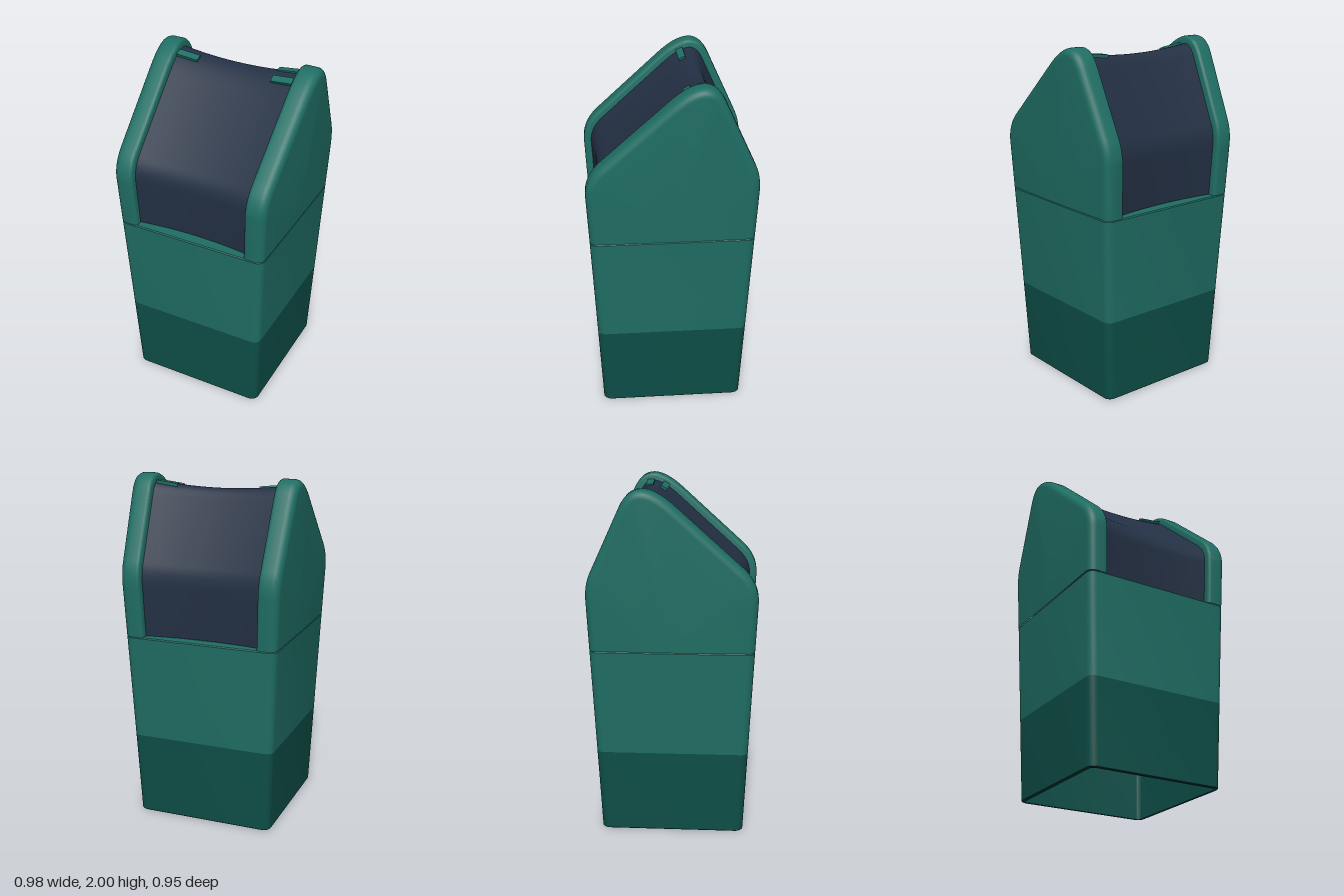
import * as THREE from 'three';
import { toCreasedNormals } from 'three/addons/utils/BufferGeometryUtils.js';

const RIM = 1.1, BAND = 0.49, R = 0.045;
const outerX = (y) => 0.41 + 0.042 * y;
const outerZ = (y) => 0.413 + 0.046 * y;
const innerX = (y) => 0.309 + 0.029 * y;

const paint = (color) => new THREE.MeshStandardMaterial({ color, side: THREE.DoubleSide });

// Skin over rows of points
function skin(rows, crease = 0.6) {
  const pos = [];
  const tri = (a, b, c) => {
    if (a.distanceTo(b) < 1e-6 || b.distanceTo(c) < 1e-6 || a.distanceTo(c) < 1e-6) return;
    pos.push(...a.toArray(), ...b.toArray(), ...c.toArray());
  };
  for (let j = 0; j < rows.length - 1; j++) {
    for (let i = 0; i < rows[j].length - 1; i++) {
      const a = rows[j][i], b = rows[j][i + 1], c = rows[j + 1][i + 1], d = rows[j + 1][i];
      tri(a, b, c);
      tri(a, c, d);
    }
  }
  const g = new THREE.BufferGeometry();
  g.setAttribute('position', new THREE.Float32BufferAttribute(pos, 3));
  return toCreasedNormals(g, crease);
}

// Rounded rectangle ring of the tapered body
function ring(y, inset) {
  const r = Math.max(R - inset, 0.012), n = 6, pts = [];
  const hx = outerX(y) - inset - r, hz = outerZ(y) - inset - r;
  const corners = [[1, 1], [-1, 1], [-1, -1], [1, -1]];
  corners.forEach(([sx, sz], k) => {
    for (let i = 0; i <= n; i++) {
      const a = (k + i / n) * Math.PI / 2;
      pts.push(new THREE.Vector3(sx * hx + r * Math.cos(a), y, sz * hz + r * Math.sin(a)));
    }
  });
  pts.push(pts[0].clone());
  return pts;
}

// Gabled side outline from front rim to back rim, as (z, y)
function gable() {
  const s = new THREE.Shape();
  s.moveTo(outerZ(RIM), RIM);
  s.lineTo(0.477, 1.38);
  s.quadraticCurveTo(0.482, 1.485, 0.39, 1.569);
  s.lineTo(0.02, 1.902);
  s.quadraticCurveTo(-0.193, 2.094, -0.28, 1.908);
  s.lineTo(-0.45, 1.54);
  s.quadraticCurveTo(-0.48, 1.475, -0.477, 1.39);
  s.lineTo(-outerZ(RIM), RIM);
  const p = s.getPoints(14);
  return p.map((q, i) => {
    const t = p[Math.min(i + 1, p.length - 1)].clone().sub(p[Math.max(i - 1, 0)]).normalize();
    return { z: q.x, y: q.y, nz: -t.y, ny: t.x };
  });
}

// Outline moved inward, placed at the x given for each height
const outlineRow = (outline, inset, xAt) => outline.map((p) => {
  const y = Math.max(p.y + p.ny * inset, RIM - 0.01);
  return new THREE.Vector3(xAt(y), y, p.z + p.nz * inset);
});

export function createModel() {
  const model = new THREE.Group();
  const green = paint(0x1f6e64), darkGreen = paint(0x0e4f48), navy = paint(0x233044);
  const add = (name, geometry, material) => {
    const mesh = new THREE.Mesh(geometry, material);
    mesh.name = name;
    model.add(mesh);
    return mesh;
  };
  const rings = (list) => skin(list.map(([y, inset]) => ring(y, inset)));

  // Hollow body, open underneath
  add('baseBand', rings([[BAND, 0.02], [0, 0.02], [0, 0.004], [0.004, 0], [BAND, 0]]), darkGreen);
  add('body', rings([[BAND, 0], [RIM - 0.006, 0], [RIM, 0.006], [RIM, 0.075],
    [RIM - 0.03, 0.075], [RIM - 0.06, 0.02], [BAND, 0.02]]), green);

  // Side frames: flat outer face, rounded outer edge, small inner rounding
  const outline = gable();
  const section = [];
  for (let i = 0; i <= 6; i++) {
    const a = i / 6 * Math.PI / 2;
    section.push([R * (1 - Math.cos(a)) / 0.12, R * (1 - Math.sin(a))]);
  }
  for (let i = 0; i <= 4; i++) {
    const a = i / 4 * Math.PI / 2;
    section.push([1 - 0.02 * (1 - Math.sin(a)) / 0.12, 0.02 * (1 - Math.cos(a))]);
  }
  section.push([1, 0.09]);
  for (const side of [1, -1]) {
    const rows = section.map(([t, inset]) => outlineRow(outline, inset,
      (y) => side * THREE.MathUtils.lerp(outerX(y), innerX(y), t)));
    rows.unshift(outline.map(() => new THREE.Vector3(side * outerX(RIM), RIM, 0)));
    if (side < 0) rows.reverse();
    add(side > 0 ? 'leftFrame' : 'rightFrame', skin(rows), green);
  }

  // Hood panel, sagging slightly toward the middle
  const hood = [];
  for (let i = 0; i <= 16; i++) {
    const u = 1 - i / 8;
    hood.push(outlineRow(outline, 0.068 - 0.025 * u * u, (y) => u * (innerX(y) + 0.004)));
  }
  add('hoodPanel', skin(hood), navy);

  // Hinge tabs near the ridge
  const tabs = [[-0.3, 1.931, -0.11, 0.35], [0.297, 1.94, -0.175, 0], [0.297, 1.922, -0.09, 0.5]];
  for (const [x, y, z, tilt] of tabs) {
    const tab = add('hingeTab', new THREE.BoxGeometry(0.13, 0.03, 0.042), green);
    tab.position.set(x, y, z);
    tab.rotation.set(tilt, 0, Math.sign(x) * 0.115);
  }
  return model;
}
